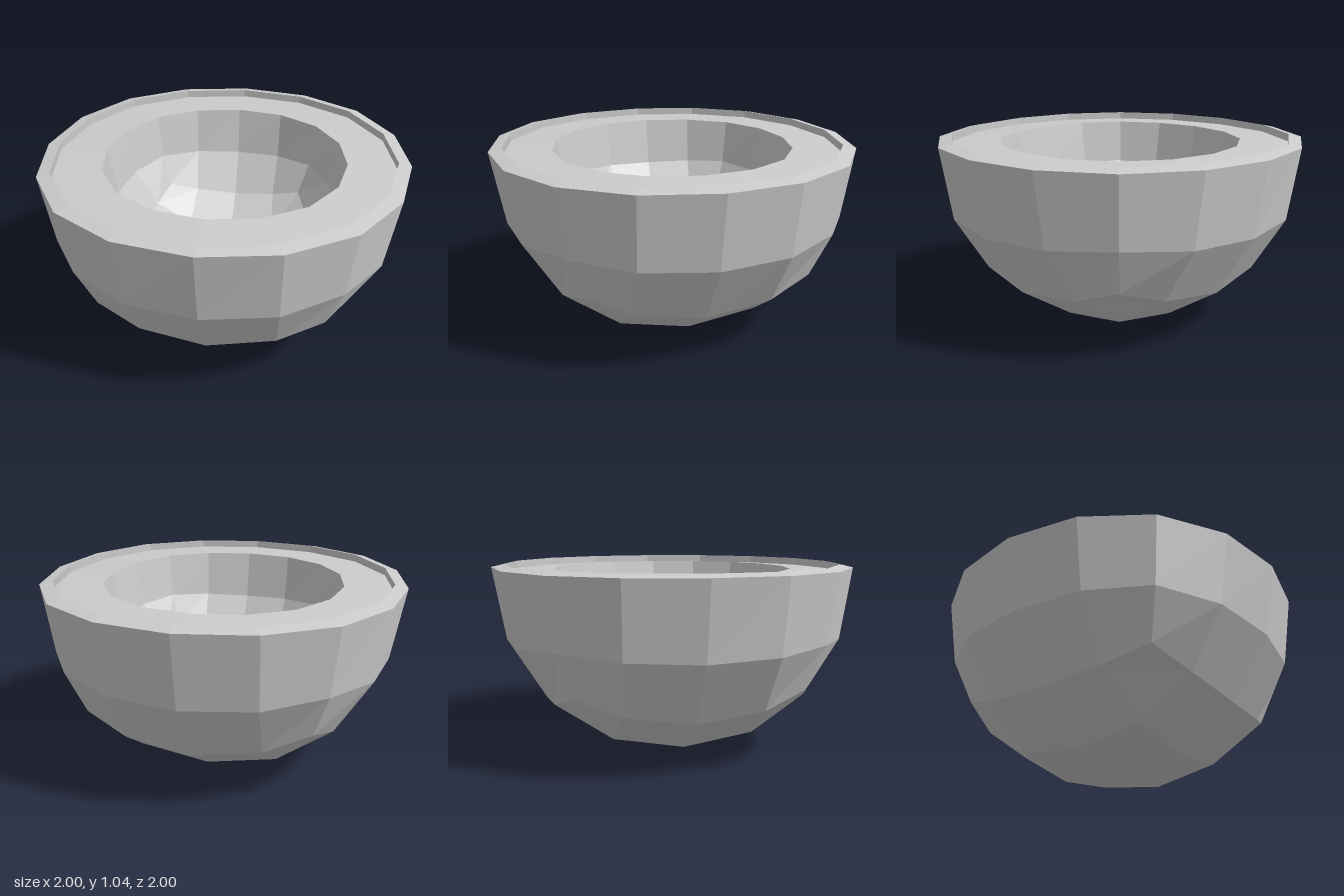
import * as THREE from 'three';

const MID = 1.03;       // height of the open equator
const STRETCH = 1.03;   // vertical stretch of the bowl
const INNER = 0.664;    // hollow radius relative to the outside

// One eighth of a rounded-cube face: [across, up, out] for grid steps (larger, smaller)
const ROUNDED = {
  '00': [0, 0, 1], '10': [0.39, 0, 0.93], '20': [0.72, 0, 0.72],
  '11': [0.38, 0.38, 0.87], '21': [0.68, 0.36, 0.68], '22': [0.6, 0.6, 0.6],
};

// Grid point (i, j in -2..2) of a rounded cube face with axes u, v, n
function facePoint({ u, v, n }, i, j) {
  const a = Math.abs(i), b = Math.abs(j);
  const [big, small, out] = ROUNDED[`${Math.max(a, b)}${Math.min(a, b)}`];
  const x = Math.sign(i) * (a >= b ? big : small);
  const y = Math.sign(j) * (a >= b ? small : big);
  return new THREE.Vector3()
    .addScaledVector(u, x).addScaledVector(v, y).addScaledVector(n, out);
}

const V = (x, y, z) => new THREE.Vector3(x, y, z);
const sides = [[0, 1], [1, 0], [0, -1], [-1, 0]].map(([s, c]) =>
  ({ u: V(c, 0, -s), v: V(0, 1, 0), n: V(s, 0, c), top: 0 }));
const bottom = { u: V(1, 0, 0), v: V(0, 0, 1), n: V(0, -1, 0), top: 2 };

function meshFromQuads(name, quads) {
  const pos = [];
  for (const [a, b, c, d] of quads)
    for (const p of [a, b, c, a, c, d]) pos.push(p.x, p.y, p.z);
  const geo = new THREE.BufferGeometry();
  geo.setAttribute('position', new THREE.Float32BufferAttribute(pos, 3));
  geo.computeVertexNormals();
  const mesh = new THREE.Mesh(geo,
    new THREE.MeshStandardMaterial({ color: 0xcccccc, flatShading: true }));
  mesh.name = name;
  return mesh;
}

// Lower half of a rounded cube, facing outward or (flipped) inward
function halfShell(name, scale, topY, flip) {
  const quads = [];
  for (const face of [bottom, ...sides])
    for (let j = -2; j < face.top; j++)
      for (let i = -2; i < 2; i++) {
        const q = [[i, j], [i + 1, j], [i + 1, j + 1], [i, j + 1]].map(([a, b]) => {
          const p = facePoint(face, a, b);
          return p.set(p.x * scale, topY + p.y * scale * STRETCH, p.z * scale);
        });
        quads.push(flip ? q.reverse() : q);
      }
  return meshFromQuads(name, quads);
}

// Raised lip, small step down and broad flat rim, as rings of 16 points
function rim(name, profile) {
  const ring = sides.flatMap((f) => [-2, -1, 0, 1].map((i) => facePoint(f, i, 0)));
  const at = (k, [r, y]) => {
    const p = ring[k % ring.length];
    return V(p.x * r, y, p.z * r);
  };
  const quads = [];
  for (let s = 0; s < profile.length - 1; s++)
    for (let k = 0; k < ring.length; k++)
      quads.push([at(k, profile[s]), at(k + 1, profile[s]),
        at(k + 1, profile[s + 1]), at(k, profile[s + 1])]);
  return meshFromQuads(name, quads);
}

export function createModel() {
  const group = new THREE.Group();
  group.name = 'bowl';
  const innerTop = 1.018;
  group.add(
    halfShell('outerShell', 1, MID, false),
    rim('rim', [[1, MID], [0.93, 1.045], [0.93, 1.003], [INNER, innerTop]]),
    halfShell('innerHollow', INNER, innerTop, true),
  );
  return group;
}
